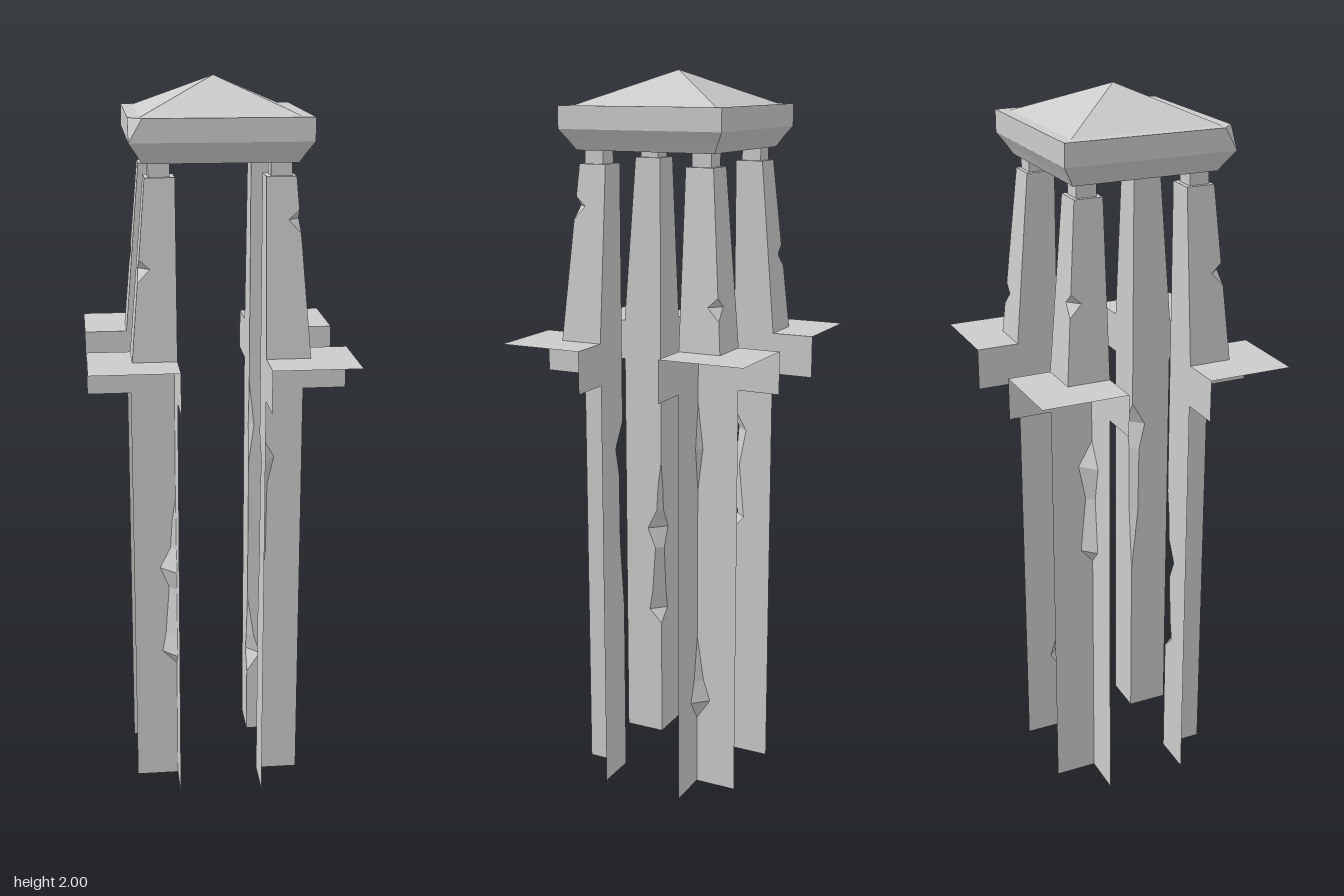
import * as THREE from 'three';

const material = new THREE.MeshStandardMaterial({ color: 0xcccccc, flatShading: true, side: THREE.DoubleSide });

const INNER = 0.117, OUTER = 0.235, WIDE = 0.352; // distances of the leg edges from the axis

// Skin a stack of cross-sections (arrays of [x, y, z]), open or closed around
function loft(rings, closed) {
  const pos = [];
  for (let i = 0; i < rings.length - 1; i++) {
    const lo = rings[i], hi = rings[i + 1], n = lo.length;
    for (let j = 0; j < (closed ? n : n - 1); j++) {
      const k = (j + 1) % n;
      pos.push(...lo[j], ...lo[k], ...hi[k], ...lo[j], ...hi[k], ...hi[j]);
    }
  }
  const geometry = new THREE.BufferGeometry();
  geometry.setAttribute('position', new THREE.Float32BufferAttribute(pos, 3));
  geometry.computeVertexNormals();
  return geometry;
}

function add(group, name, geometry) {
  const mesh = new THREE.Mesh(geometry, material);
  mesh.name = name;
  group.add(mesh);
  return mesh;
}

// Each leg: signs of x and z, chips on the inner edge as [y, depth], height of the nick on the column
const legs = [
  { name: 'frontLeftLeg', sx: 1, sz: 1, nick: 1.65,
    chips: [[0.5, 0], [0.7, 0.02], [0.9, 0.022], [0.98, 0.04], [1.05, 0]] },
  { name: 'frontRightLeg', sx: -1, sz: 1, nick: 1.53,
    chips: [[0.36, 0], [0.4, 0.04], [0.46, 0.03], [0.6, 0.02], [0.66, 0.045], [0.72, 0.015], [0.8, 0.01], [0.87, 0]] },
  { name: 'backLeftLeg', sx: 1, sz: -1, nick: 1.41,
    chips: [[0.2, 0], [0.26, 0.04], [0.32, 0.02], [0.45, 0], [0.88, 0], [1.0, 0.015], [1.13, 0]] },
  { name: 'backRightLeg', sx: -1, sz: -1, nick: 1.5,
    chips: [[0.7, 0], [0.74, 0.035], [0.9, 0.02], [1.0, 0.04], [1.07, 0]] },
];

function createLeg({ name, sx, sz, nick, chips }) {
  const leg = new THREE.Group();
  leg.name = name;
  // mirror a section into the leg's quadrant and keep its winding
  const section = (y, points) => {
    const ring = points.map(([x, z]) => [x * sx, y, z * sz]);
    return sx * sz < 0 ? ring.reverse() : ring;
  };

  // Angled sheet post, widening into a skirt below the ledge
  const post = [[0, OUTER, 0], ...chips.map(([y, c]) => [y, OUTER, c]),
    [1.175, OUTER, 0], [1.175, WIDE, 0], [1.29, WIDE, 0]];
  add(leg, 'post', loft(post.map(([y, o, c]) =>
    section(y, [[o, INNER], [INNER + c, INNER], [INNER, INNER + c], [INNER, o]])), false));

  // Flat ledge
  const ledge = new THREE.PlaneGeometry(WIDE - INNER, WIDE - INNER).rotateX(-Math.PI / 2);
  const mid = (WIDE + INNER) / 2;
  add(leg, 'ledge', ledge.translate(mid * sx, 1.29, mid * sz));

  // Tapered column with a nick in its outer corner, closed on top
  const column = [[1.29, 0], [nick - 0.035, 0], [nick, 0.03], [nick + 0.025, 0], [1.76, 0]].map(([y, c]) => {
    const o = OUTER - 0.04 * (y - 1.29) / 0.47;
    return section(y, [[INNER, o], [o - c, o], [o, o - c], [o, INNER], [INNER, INNER]]);
  });
  column.push(section(1.76, Array(5).fill([0.156, 0.156])));
  add(leg, 'column', loft(column, true));

  // Short neck under the roof
  add(leg, 'neck', new THREE.BoxGeometry(0.055, 0.04, 0.055).translate(0.157 * sx, 1.777, 0.157 * sz));
  return leg;
}

// Square roof with a recessed underside, moulded rim and pyramid; one corner is chipped
function createRoof() {
  const profile = [[0, 1.83], [0.12, 1.83], [0.12, 1.795], [0.2, 1.795], [0.215, 1.82],
    [0.235, 1.85], [0.235, 1.91, 0.035], [0.205, 1.91], [0, 2]];
  return loft(profile.map(([r, y, c = 0]) =>
    [[-r, y, r - c], [-r + c, y, r], [r, y, r], [r, y, -r], [-r, y, -r]]), true);
}

export function createModel() {
  const model = new THREE.Group();
  model.name = 'tower';
  for (const leg of legs) model.add(createLeg(leg));
  add(model, 'roof', createRoof());
  return model;
}
